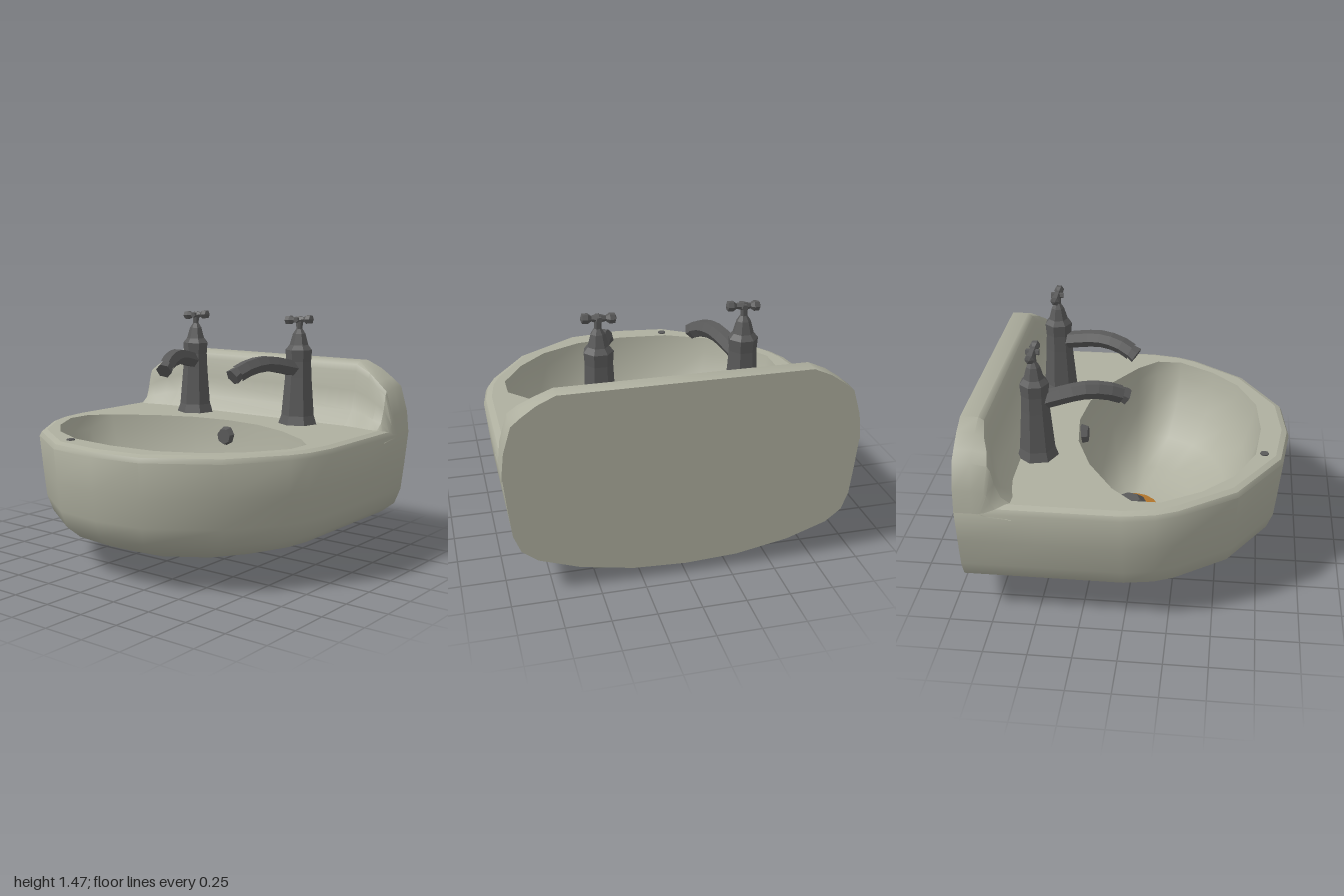
import * as THREE from 'three';
import { toCreasedNormals } from 'three/addons/utils/BufferGeometryUtils.js';

const material = (name, color, opts = {}) => {
  const m = new THREE.MeshStandardMaterial({ color, ...opts });
  m.name = name;
  return m;
};

// Skin a list of closed rings of [x, y, z] points.
function loft(rings, crease = 0.65) {
  const n = rings[0].length, index = [];
  for (let r = 0; r < rings.length - 1; r++) {
    for (let i = 0; i < n; i++) {
      const a = r * n + i, b = r * n + (i + 1) % n;
      index.push(a, a + n, b, b, a + n, b + n);
    }
  }
  const g = new THREE.BufferGeometry();
  g.setAttribute('position', new THREE.Float32BufferAttribute(rings.flat(2), 3));
  g.setIndex(index);
  return toCreasedNormals(g, crease);
}

// Complete a half plan outline (back centre to front centre) by mirroring.
const mirrorOutline = half =>
  [...half, ...half.slice(1, -1).reverse().map(([x, z]) => [-x, z])];

export function createModel() {
  const model = new THREE.Group();
  model.name = 'washbasin';
  const ceramic = material('ceramic', 0xaeaf9f);
  const metal = material('dark metal', 0x5a5a5a, { flatShading: true });
  const brass = material('brass', 0xb0742a, { side: THREE.DoubleSide });

  const add = (parent, name, geometry, mat, x = 0, y = 0, z = 0) => {
    const mesh = new THREE.Mesh(geometry, mat);
    mesh.name = name;
    mesh.position.set(x, y, z);
    parent.add(mesh);
    return mesh;
  };

  const outer = mirrorOutline([[0, -0.91], [0.5, -0.91], [1, -0.91], [1, -0.45], [1, 0],
    [0.97, 0.18], [0.92, 0.3], [0.7, 0.62], [0.32, 0.87], [0, 0.91]]);
  const opening = mirrorOutline([[0, -0.37], [0.25, -0.34], [0.5, -0.24], [0.74, -0.08],
    [0.85, 0.04], [0.85, 0.2], [0.72, 0.42], [0.55, 0.59], [0.3, 0.71], [0, 0.74]]);

  // Outer shell: the back stays flat while sides and front curve under.
  const shrink = s => ([x, z]) => [x * s, z > 0 ? z * s : z];
  const shellSteps = [[0, 0.06], [0.3, 0.075], [0.6, 0.13], [0.83, 0.21], [0.92, 0.28],
    [0.96, 0.38], [0.98, 0.55], [1, 0.75], [0.985, 0.777], [0.95, 0.79]];
  add(model, 'outerShell', loft(shellSteps.map(([s, y]) =>
    outer.map(shrink(s)).map(([x, z]) => [x, y, z]))), ceramic);

  // Flat deck around the bowl opening.
  const toPlane = ([x, z]) => new THREE.Vector2(x, -z);
  const deckShape = new THREE.Shape(outer.map(shrink(0.95)).map(toPlane));
  deckShape.holes.push(new THREE.Path(opening.map(toPlane)));
  add(model, 'deck', new THREE.ShapeGeometry(deckShape).rotateX(-Math.PI / 2), ceramic, 0, 0.79, 0);

  // Bowl interior, narrowing toward the drain.
  const bowlSteps = [[1, 0.79], [0.98, 0.7], [0.9, 0.5], [0.74, 0.33], [0.48, 0.21],
    [0.18, 0.155], [0, 0.15]];
  add(model, 'bowl', loft(bowlSteps.map(([s, y]) =>
    opening.map(([x, z]) => [x * s, y, -0.04 + (z + 0.04) * s])), 0.9), ceramic);

  // Backsplash: one profile in z and y, lowered toward both ends.
  const splashProfile = [[-0.6, 0.72], [-0.65, 0.8], [-0.72, 0.88], [-0.75, 1], [-0.765, 1.12],
    [-0.78, 1.16], [-0.81, 1.18], [-0.91, 1.18], [-0.91, 0.72]];
  const ends = [[0.7, 1.18, 0], [0.8, 1.135, 0.02], [0.88, 1.08, 0.05], [0.94, 1.03, 0.06],
    [0.985, 0.88, 0.04], [1, 0.75, 0]];
  const stations = [...ends.map(([x, h, f]) => [-x, h, f]).reverse(), ...ends];
  add(model, 'backsplash', loft(stations.map(([x, h, forward]) =>
    splashProfile.map(([z, y]) => [
      x,
      0.72 + (y - 0.72) * (h - 0.72) / 0.46,
      z > -0.8 ? z + forward : z,
    ]))), ceramic);

  // Pair of taps with spouts turned inward.
  for (const side of [-1, 1]) {
    const tap = new THREE.Group();
    tap.name = side > 0 ? 'leftTap' : 'rightTap';
    model.add(tap);

    const bodyProfile = [[0.125, 0], [0.105, 0.06], [0.085, 0.3], [0.08, 0.4], [0.085, 0.47],
      [0.06, 0.5], [0.04, 0.57], [0.02, 0.6], [0.022, 0.65], [0, 0.66]]
      .map(([r, y]) => new THREE.Vector2(r, y));
    add(tap, 'tapBody', new THREE.LatheGeometry(bodyProfile, 7), metal, side * 0.41, 0.785, -0.555);

    const path = new THREE.CatmullRomCurve3([[0.41, 1.13, -0.55], [0.375, 1.165, -0.4],
      [0.345, 1.185, -0.28], [0.31, 1.17, -0.16], [0.28, 1.135, -0.08]]
      .map(([x, y, z]) => new THREE.Vector3(side * x, y, z)));
    add(tap, 'spout', new THREE.TubeGeometry(path, 7, 0.053, 6), metal);

    const nozzle = add(tap, 'nozzle', new THREE.CylinderGeometry(0.042, 0.052, 0.06, 6), metal,
      side * 0.275, 1.132, -0.072);
    nozzle.quaternion.setFromUnitVectors(new THREE.Vector3(0, -1, 0),
      new THREE.Vector3(-side * 0.25, -0.5, 0.8).normalize());

    // Cross handle with flared ends.
    const barProfile = [[0, -0.1], [0.028, -0.09], [0.03, -0.06], [0.016, -0.04], [0.026, 0],
      [0.016, 0.04], [0.03, 0.06], [0.028, 0.09], [0, 0.1]]
      .map(([r, y]) => new THREE.Vector2(r, y));
    const handle = add(tap, 'handle', new THREE.LatheGeometry(barProfile, 6), metal,
      side * 0.405, 1.44, -0.555);
    handle.rotation.z = Math.PI / 2 + 0.06;
    const crossBar = add(tap, 'handleCrossBar', new THREE.CylinderGeometry(0.018, 0.018, 0.075, 5),
      metal, side * 0.405, 1.44, -0.555);
    crossBar.rotation.x = Math.PI / 2;
  }

  // Drain: brass seat and faceted plug inside, open waste pipe below.
  add(model, 'drainSeat', new THREE.CircleGeometry(0.165, 14).rotateX(-Math.PI / 2), brass,
    -0.015, 0.172, -0.045);
  add(model, 'drainPlug', new THREE.CylinderGeometry(0.07, 0.13, 0.05, 7), metal, 0.005, 0.2, -0.07);
  const pipeProfile = [[0.09, 0.1], [0.09, 0], [0.14, 0], [0.165, 0.1]]
    .map(([r, y]) => new THREE.Vector2(r, y));
  add(model, 'wastePipe', new THREE.LatheGeometry(pipeProfile, 8), metal, -0.01, 0, -0.1);
  add(model, 'pipeLining', new THREE.CircleGeometry(0.1, 8).rotateX(Math.PI / 2), brass,
    -0.01, 0.03, -0.1);

  // Overflow fitting on the rear bowl wall and small stud on the front rim.
  const overflow = add(model, 'overflow', new THREE.CylinderGeometry(0.05, 0.065, 0.05, 7), metal,
    0, 0.69, -0.345);
  overflow.rotation.x = Math.PI / 2;
  add(model, 'rimStud', new THREE.CylinderGeometry(0.025, 0.025, 0.008, 8), metal, -0.29, 0.793, 0.76);

  return model;
}
